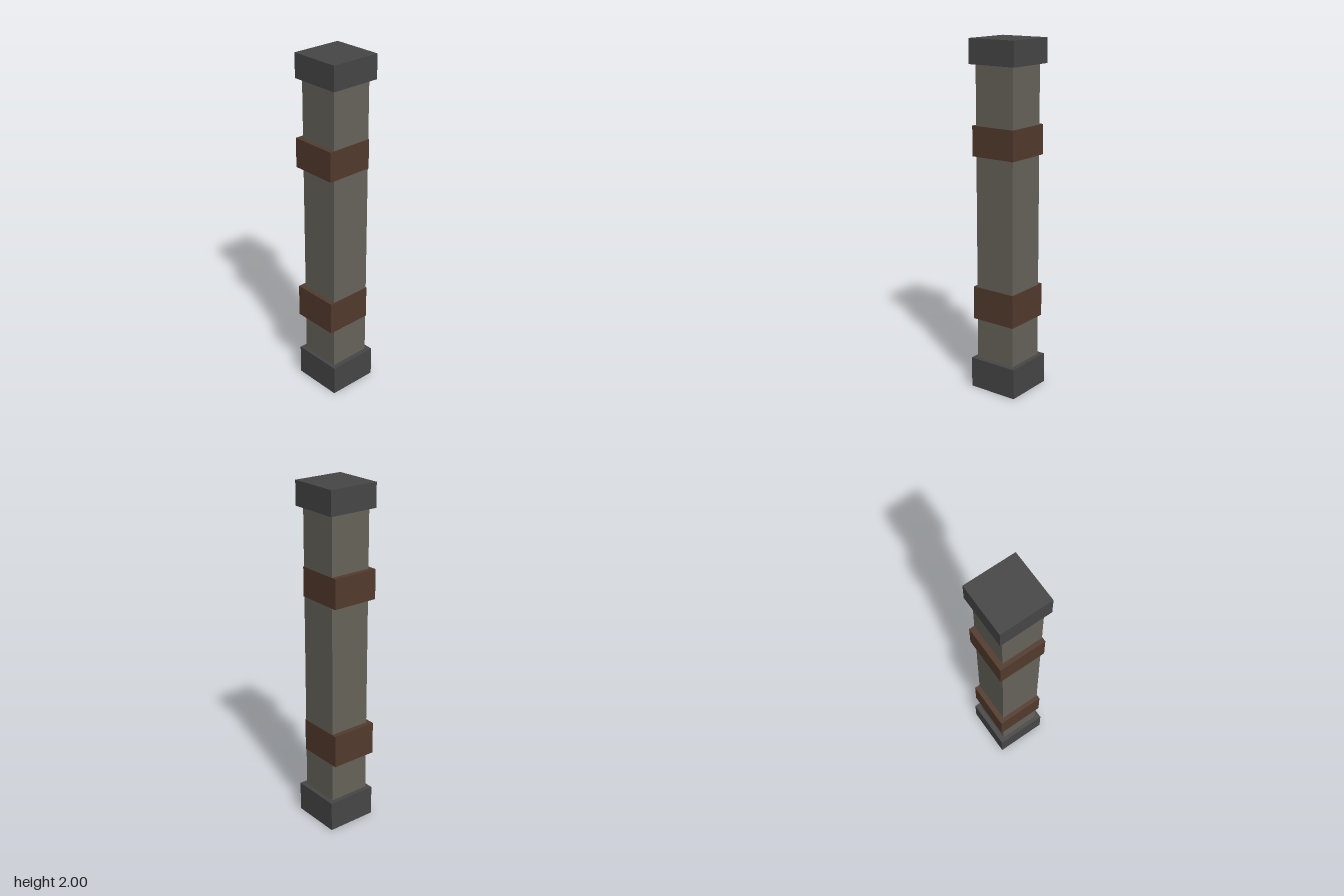
import * as THREE from 'three';

const stone = new THREE.MeshStandardMaterial({ color: 0x66635a });
stone.name = 'warm grey stone';
const iron = new THREE.MeshStandardMaterial({ color: 0x464646 });
iron.name = 'dark grey iron';
const rust = new THREE.MeshStandardMaterial({ color: 0x533a2d });
rust.name = 'rust brown';

// Box given by its minimum and maximum corners
function block(name, material, [x0, y0, z0], [x1, y1, z1]) {
  const mesh = new THREE.Mesh(new THREE.BoxGeometry(x1 - x0, y1 - y0, z1 - z0), material);
  mesh.position.set((x0 + x1) / 2, (y0 + y1) / 2, (z0 + z1) / 2);
  mesh.name = name;
  return mesh;
}

export function createModel() {
  const pillar = new THREE.Group();
  pillar.name = 'pillar';

  // Square shaft, running into the base and the cap
  pillar.add(block('shaft', stone, [-0.122, 0.1, -0.122], [0.122, 1.93, 0.126]));

  // Base and cap
  pillar.add(block('base', iron, [-0.15, 0, -0.15], [0.15, 0.177, 0.15]));
  pillar.add(block('cap', iron, [-0.15, 1.863, -0.15], [0.15, 2, 0.15]));

  // Bands stand out at the front and right, nearly flush at the back and left
  for (const [name, y0, y1] of [['lowerBand', 0.412, 0.605], ['upperBand', 1.36, 1.53]]) {
    pillar.add(block(name, rust, [-0.152, y0, -0.125], [0.125, y1, 0.151]));
  }
  return pillar;
}
